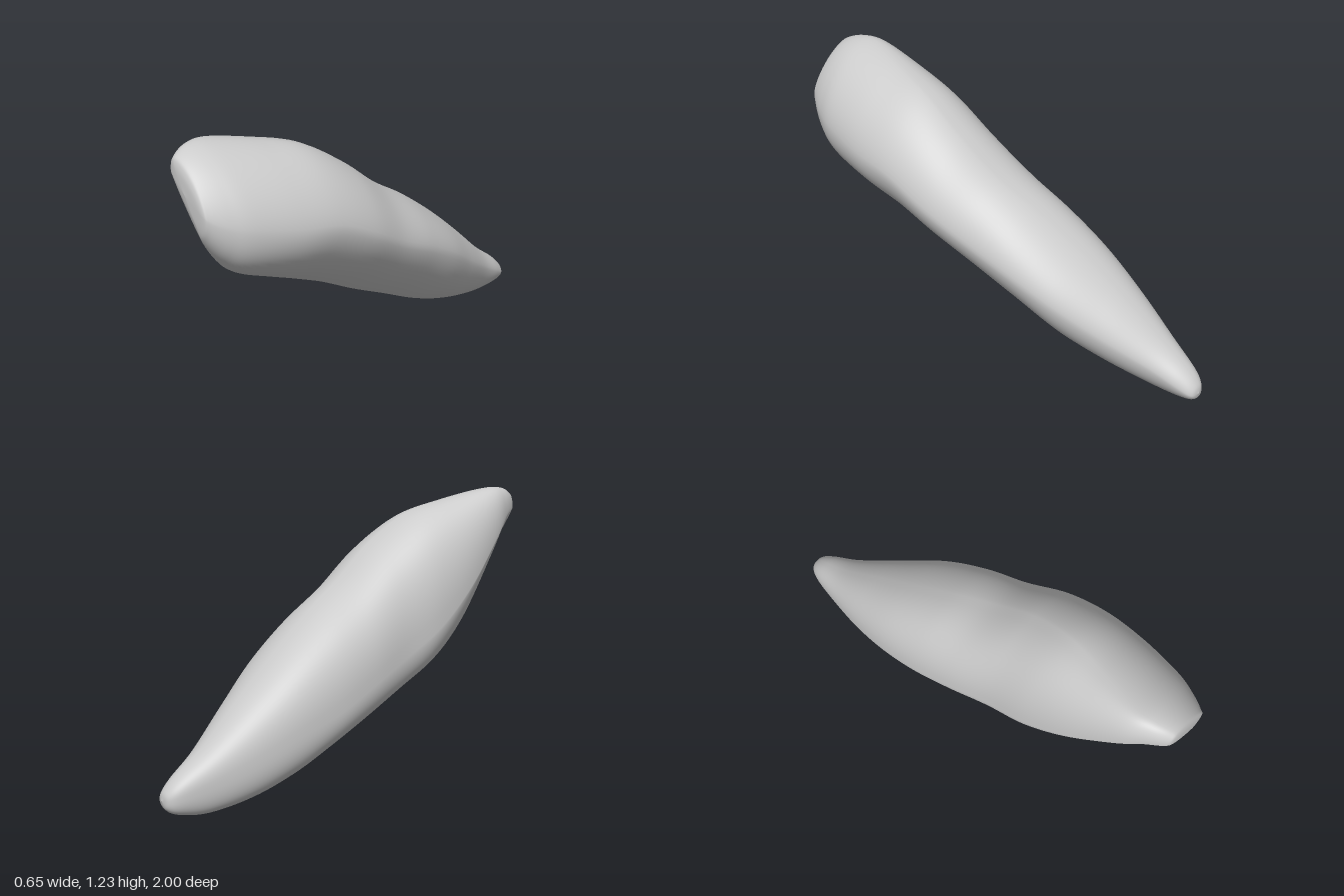
import * as THREE from 'three';

// Cross-sections along z: [z, topX, topY, leftX, leftY, bottomX, bottomY, rightX, rightY]
const SECTIONS = [
  [-1.0, -0.17, 0.08, -0.17, 0.08, -0.17, 0.08, -0.17, 0.08],
  [-0.985, -0.17, 0.12, -0.21, 0.08, -0.18, 0.04, -0.13, 0.08],
  [-0.93, -0.17, 0.175, -0.24, 0.1, -0.19, 0.015, -0.1, 0.11],
  [-0.8, -0.16, 0.27, -0.27, 0.14, -0.2, 0.003, -0.05, 0.18],
  [-0.6, -0.12, 0.44, -0.307, 0.21, -0.2, 0.035, 0.055, 0.3],
  [-0.4, -0.08, 0.6, -0.325, 0.29, -0.19, 0.1, 0.155, 0.43],
  [-0.2, -0.03, 0.74, -0.32, 0.36, -0.18, 0.19, 0.215, 0.54],
  [0.0, 0.02, 0.86, -0.295, 0.45, -0.17, 0.28, 0.255, 0.63],
  [0.2, 0.05, 1.01, -0.26, 0.54, -0.17, 0.38, 0.305, 0.74],
  [0.4, 0.04, 1.13, -0.245, 0.65, -0.14, 0.47, 0.32, 0.83],
  [0.6, 0.0, 1.185, -0.21, 0.81, -0.06, 0.57, 0.315, 0.86],
  [0.8, -0.04, 1.225, -0.15, 1.01, 0.07, 0.68, 0.285, 0.9],
  [0.9, -0.03, 1.225, -0.1, 1.1, 0.12, 0.77, 0.25, 0.93],
  [0.97, -0.01, 1.2, -0.055, 1.12, 0.14, 0.87, 0.21, 0.97],
  [0.993, 0.0, 1.165, -0.02, 1.12, 0.14, 0.94, 0.18, 1.0],
  [1.0, 0.07, 1.06, 0.07, 1.06, 0.07, 1.06, 0.07, 1.06],
];

// Flatness of the lower left, lower right and upper right arcs (1 = ellipse, 2 = straight)
const TAIL = [0.85, 1.2, 1.05];
const FLATNESS = [
  TAIL, TAIL, TAIL, TAIL, TAIL, TAIL,
  [0.9, 1.25, 1.05], [0.95, 1.25, 1.1], [1, 1.2, 1.15], [1.15, 1.15, 1.2],
  [1.45, 1.05, 1.15], [1.75, 0.95, 1.15], [1.85, 0.9, 1.2], [1.85, 0.9, 1.3],
  [1.8, 0.9, 1.4], [1.8, 0.9, 1.4],
];

const curveOf = (points) => new THREE.CatmullRomCurve3(
  points.map((p) => new THREE.Vector3(...p)), false, 'catmullrom', 0.5);

// Loft a closed skin through sections whose four extremes are joined by arcs
function loft(rings, quarter) {
  const rails = [1, 3, 5, 7].map((k) => curveOf(SECTIONS.map((s) => [s[k], s[k + 1], s[0]])));
  const flatness = curveOf(FLATNESS);
  const sides = quarter * 4;
  const pos = [];
  const index = [];
  for (let i = 0; i <= rings; i++) {
    const [T, L, B, R] = rails.map((c) => c.getPoint(i / rings));
    const f = flatness.getPoint(i / rings);
    // each arc runs between a vertical extreme V and a horizontal extreme H
    const arcs = [[T, L, false, 0.85], [B, L, true, f.x], [B, R, false, f.y], [T, R, true, f.z]];
    for (const [V, H, fromSide, power] of arcs) {
      for (let j = 0; j < quarter; j++) {
        const a = (fromSide ? 1 - j / quarter : j / quarter) * Math.PI / 2;
        const s = Math.sin(a) ** power;
        const c = Math.max(0, Math.cos(a)) ** power;
        pos.push(V.x + (H.x - V.x) * s, H.y + (V.y - H.y) * c, T.z);
      }
    }
  }
  for (let i = 0; i < rings; i++) {
    for (let j = 0; j < sides; j++) {
      const a = i * sides + j;
      const b = i * sides + (j + 1) % sides;
      index.push(a, b, b + sides, a, b + sides, a + sides);
    }
  }
  const geo = new THREE.BufferGeometry();
  geo.setAttribute('position', new THREE.Float32BufferAttribute(pos, 3));
  geo.setIndex(index);
  geo.computeVertexNormals();
  return geo;
}

export function createModel() {
  const group = new THREE.Group();
  group.name = 'smoothStone';
  const stone = new THREE.MeshStandardMaterial({ color: 0xcccccc });
  stone.name = 'light grey';
  const body = new THREE.Mesh(loft(120, 16), stone);
  body.name = 'body';
  group.add(body);
  return group;
}
